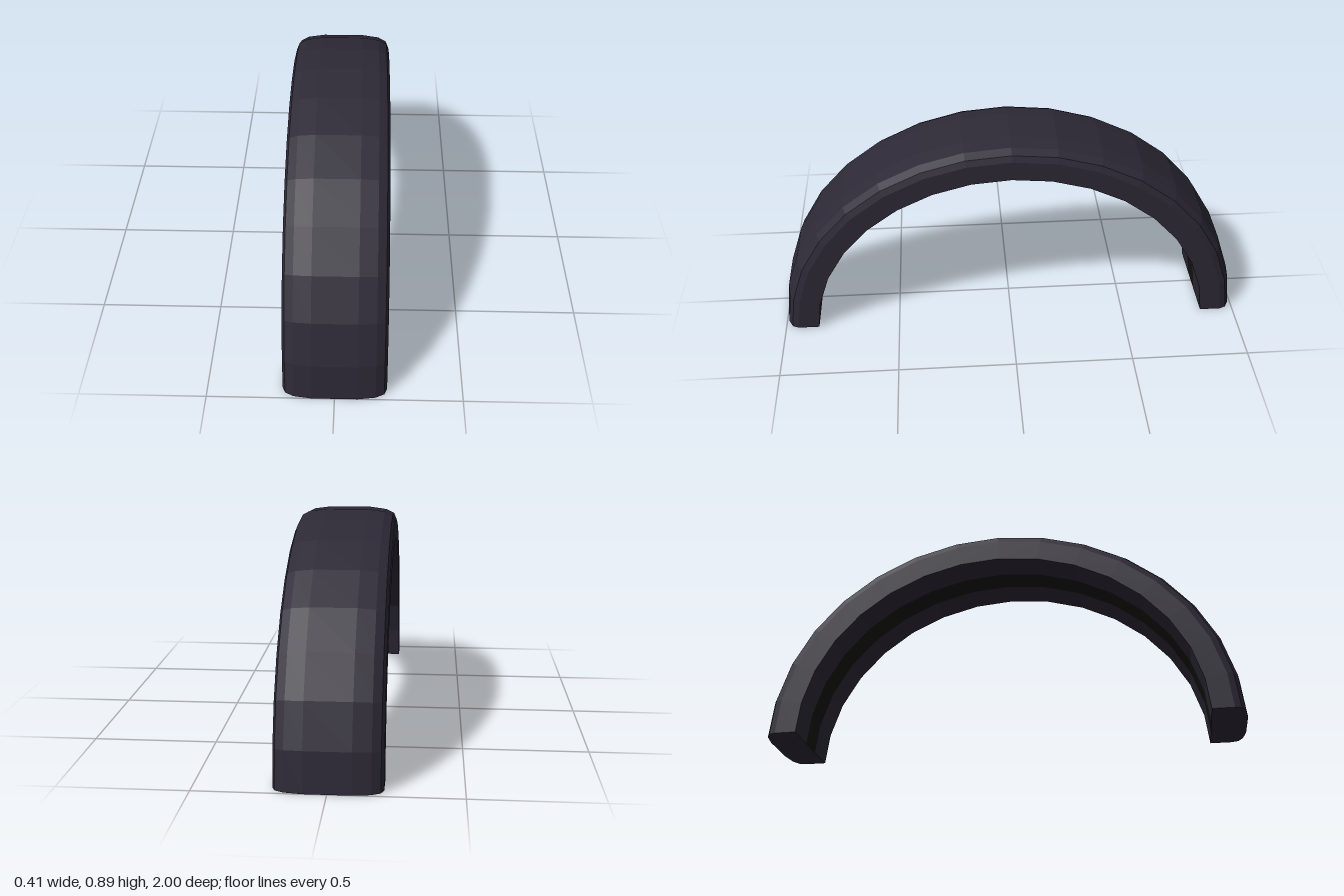
import * as THREE from 'three';

const SEGMENTS = 16;

// Cross-section loop: [x, depth below the outer crown]
const half = [[0.09, 0], [0.16, 0.01], [0.194, 0.028], [0.205, 0.055], [0.205, 0.145], [0.06, 0.145]];
const section = [
  ...half.slice(0, 5).reverse(),
  ...half.map(([x, d]) => [-x, d]),
  half[5],
];
const N = section.length;
const STRIP_EDGE = N - 2; // middle of the inner face

// Point of the section at step j along the elliptical arch
function pointAt(i, j) {
  const [x, d] = section[i % N];
  const t = (Math.PI * j) / SEGMENTS;
  const y = Math.max(0, (0.908 - 0.95 * d) * Math.sin(t) - 0.02);
  return [x, y, (1 - d) * Math.cos(t)];
}

// Sweep the chosen section edges along the arch, with optional end caps
function sweep(edges, capped) {
  const pos = [];
  for (const i of edges) {
    for (let j = 0; j < SEGMENTS; j++) {
      const a = pointAt(i, j), b = pointAt(i + 1, j);
      const c = pointAt(i + 1, j + 1), d = pointAt(i, j + 1);
      pos.push(...a, ...c, ...b, ...a, ...d, ...c);
    }
  }
  if (capped) {
    for (let k = 1; k < N - 1; k++) {
      pos.push(...pointAt(0, 0), ...pointAt(k, 0), ...pointAt(k + 1, 0));
      pos.push(...pointAt(0, SEGMENTS), ...pointAt(k + 1, SEGMENTS), ...pointAt(k, SEGMENTS));
    }
  }
  const geo = new THREE.BufferGeometry();
  geo.setAttribute('position', new THREE.Float32BufferAttribute(pos, 3));
  geo.computeVertexNormals();
  return geo;
}

function part(name, geometry, color) {
  const mesh = new THREE.Mesh(geometry, new THREE.MeshStandardMaterial({ color, flatShading: true }));
  mesh.name = name;
  return mesh;
}

export function createModel() {
  const group = new THREE.Group();
  group.name = 'archedBand';
  const bodyEdges = section.map((_, i) => i).filter((i) => i !== STRIP_EDGE);
  // Arch with a rounded crown and flat ends
  group.add(part('archBody', sweep(bodyEdges, true), 0x2d2936));
  // Dark strip along the middle of the underside
  group.add(part('innerStrip', sweep([STRIP_EDGE], false), 0x141412));
  return group;
}
